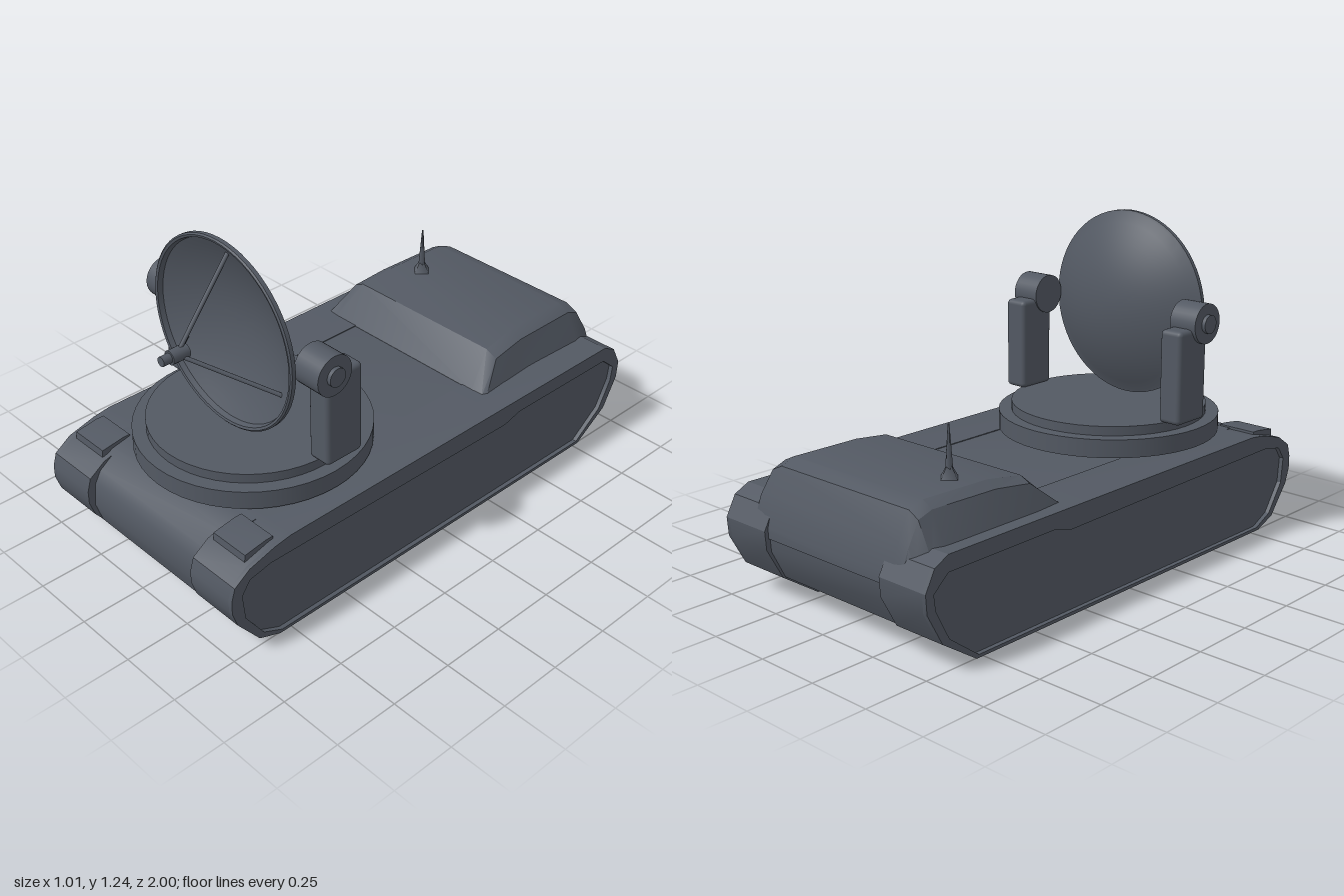
import * as THREE from 'three';
import { toCreasedNormals } from 'three/addons/utils/BufferGeometryUtils.js';
import { RoundedBoxGeometry } from 'three/addons/geometries/RoundedBoxGeometry.js';

const paint = new THREE.MeshStandardMaterial({ color: 0x535963 });
paint.name = 'slateGrey';

function add(parent, name, geometry, x = 0, y = 0, z = 0) {
  const mesh = new THREE.Mesh(geometry, paint);
  mesh.name = name;
  mesh.position.set(x, y, z);
  parent.add(mesh);
  return mesh;
}

// Extrude a [z, y] side profile from x0 to x1
function sidePlate(profile, x0, x1, hole) {
  const toPoints = (list) => list.map(([z, y]) => new THREE.Vector2(z, y));
  const shape = new THREE.Shape(toPoints(profile));
  if (hole) shape.holes.push(new THREE.Path(toPoints(hole)));
  const geo = new THREE.ExtrudeGeometry(shape, { depth: x1 - x0, bevelEnabled: false });
  geo.rotateY(-Math.PI / 2).translate(x1, 0, 0);
  return toCreasedNormals(geo, 0.45);
}

// Skin a list of equal-length rings running towards -z
function loft(rings) {
  const pos = [];
  const tri = (a, b, c) => pos.push(...a, ...b, ...c);
  for (let s = 0; s < rings.length - 1; s++) {
    const r = rings[s], q = rings[s + 1];
    for (let i = 0; i < r.length; i++) {
      const j = (i + 1) % r.length;
      tri(r[i], r[j], q[i]);
      tri(r[j], q[j], q[i]);
    }
  }
  const first = rings[0], last = rings[rings.length - 1];
  for (let i = 1; i < first.length - 1; i++) {
    tri(first[0], first[i + 1], first[i]);
    tri(last[0], last[i], last[i + 1]);
  }
  const geo = new THREE.BufferGeometry();
  geo.setAttribute('position', new THREE.Float32BufferAttribute(pos, 3));
  return toCreasedNormals(geo, 0.5);
}

// Round bar between two points
function bar(a, b, r0, r1 = r0) {
  const dir = b.clone().sub(a);
  const geo = new THREE.CylinderGeometry(r1, r0, dir.length(), 10);
  geo.applyQuaternion(new THREE.Quaternion().setFromUnitVectors(new THREE.Vector3(0, 1, 0), dir.clone().normalize()));
  const mid = a.clone().add(b).multiplyScalar(0.5);
  return geo.translate(mid.x, mid.y, mid.z);
}

function buildHull(model) {
  const hull = new THREE.Group();
  hull.name = 'hull';
  model.add(hull);

  // Centre body between the tracks
  const body = [[0.975, 0.2], [0.965, 0.29], [0.94, 0.335], [0.87, 0.385], [0.79, 0.402], [-0.85, 0.402],
    [-0.94, 0.38], [-0.98, 0.3], [-0.975, 0.22], [-0.92, 0.11], [-0.79, 0.03], [0.79, 0.03], [0.88, 0.06], [0.95, 0.12]];
  add(hull, 'centreBody', sidePlate(body, -0.36, 0.36));

  // Track units with a raised rim around a recessed side panel
  const track = [[1, 0.27], [0.985, 0.32], [0.92, 0.365], [0.81, 0.395], [0.74, 0.405], [-0.9, 0.405], [-0.96, 0.375],
    [-1, 0.3], [-0.995, 0.23], [-0.93, 0.11], [-0.78, 0.01], [0.8, 0.01], [0.89, 0.045], [0.98, 0.16], [1, 0.22]];
  const recess = [[0.955, 0.27], [0.92, 0.32], [0.83, 0.338], [-0.32, 0.325], [-0.4, 0.347], [-0.9, 0.345],
    [-0.965, 0.29], [-0.957, 0.23], [-0.9, 0.12], [-0.77, 0.022], [0.79, 0.022], [0.87, 0.06], [0.945, 0.17]];
  for (const side of [1, -1]) {
    const span = (a, b) => side > 0 ? [a, b] : [-b, -a];
    add(hull, 'trackUnit', sidePlate(track, ...span(0.29, 0.487)));
    add(hull, 'trackRim', sidePlate(track, ...span(0.487, 0.504), recess));
    const lamp = [[0.915, 0.34], [0.91, 0.395], [0.82, 0.408], [0.79, 0.408], [0.79, 0.34]];
    add(hull, 'headlampBox', sidePlate(lamp, ...span(0.31, 0.47)));
  }

  // Raised rear cabin: z, base y, top y, left base x, left top x, right base x, right top x
  const stations = [
    [-0.31, 0.38, 0.403, -0.45, -0.43, 0.41, 0.38],
    [-0.43, 0.38, 0.515, -0.46, -0.40, 0.40, 0.34],
    [-0.58, 0.38, 0.535, -0.46, -0.39, 0.39, 0.33],
    [-0.86, 0.38, 0.537, -0.46, -0.38, 0.40, 0.33],
    [-0.915, 0.36, 0.515, -0.45, -0.375, 0.40, 0.33],
    [-0.955, 0.33, 0.42, -0.42, -0.37, 0.39, 0.35],
    [-0.985, 0.27, 0.31, -0.38, -0.36, 0.38, 0.36],
  ];
  add(hull, 'rearCabin', loft(stations.map(([z, b, t, lb, lt, rb, rt]) => {
    const shoulder = b + (t - b) * 0.85;
    return [[lb, b, z], [lt - 0.012, shoulder, z], [lt + 0.03, t, z],
      [rt - 0.04, t, z], [rt + 0.01, shoulder, z], [rb, b, z]];
  })));

  // Whip aerial on a pyramid foot
  const foot = new THREE.ConeGeometry(0.045, 0.07, 4);
  add(hull, 'aerialFoot', foot, -0.26, 0.562, -0.655);
  add(hull, 'aerial', new THREE.CylinderGeometry(0.003, 0.014, 0.16, 6), -0.26, 0.642, -0.655);
}

function buildMount(model) {
  const mount = new THREE.Group();
  mount.name = 'turntable';
  model.add(mount);

  // Stepped turntable on a hidden bearing
  add(mount, 'bearing', new THREE.CylinderGeometry(0.2, 0.2, 0.03, 32), 0, 0.405, 0.47);
  add(mount, 'lowerDisc', new THREE.CylinderGeometry(0.43, 0.43, 0.07, 48), 0, 0.45, 0.47);
  add(mount, 'upperDisc', new THREE.CylinderGeometry(0.38, 0.38, 0.037, 48), 0, 0.5025, 0.47);

  // Support arms with pivot drums
  for (const side of [1, -1]) {
    add(mount, 'supportArm', new RoundedBoxGeometry(0.096, 0.355, 0.162, 3, 0.018), side * 0.388, 0.6975, 0.43);
    const drum = new THREE.CylinderGeometry(0.076, 0.076, 0.115, 32).rotateZ(Math.PI / 2);
    add(mount, 'pivotDrum', drum, side * 0.3925, 0.888, 0.49);
    const cap = new THREE.CylinderGeometry(0.035, 0.035, 0.03, 24).rotateZ(Math.PI / 2);
    add(mount, 'pivotCap', cap, side * 0.45, 0.888, 0.49);
  }
}

function buildDish(model) {
  const dish = new THREE.Group();
  dish.name = 'dish';
  dish.position.set(0, 0.89, 0.59);
  model.add(dish);

  // Curved bowl with a rolled rim
  const bowl = (r, depth) => -depth * (1 - (r / 0.35) ** 2) - 0.008;
  const profile = [];
  for (let i = 0; i <= 10; i++) profile.push(new THREE.Vector2(i * 0.035, bowl(i * 0.035, 0.112) - 0.008));
  profile.push(new THREE.Vector2(0.36, -0.012), new THREE.Vector2(0.36, 0.004),
    new THREE.Vector2(0.354, 0.009), new THREE.Vector2(0.345, 0.006));
  for (let i = 10; i >= 0; i--) profile.push(new THREE.Vector2(i * 0.034, bowl(i * 0.034, 0.1)));
  const reflector = new THREE.LatheGeometry(profile, 64).rotateX(Math.PI / 2);
  add(dish, 'reflector', toCreasedNormals(reflector, 0.6));

  // Feed horn on three struts
  add(dish, 'feedHorn', new THREE.CylinderGeometry(0.026, 0.026, 0.07, 20).rotateX(Math.PI / 2), 0, 0, 0.188);
  add(dish, 'feedTip', new THREE.CylinderGeometry(0.018, 0.018, 0.06, 20).rotateX(Math.PI / 2), 0, 0, 0.228);
  for (let i = 0; i < 3; i++) {
    const a = Math.PI / 2 + i * Math.PI * 2 / 3;
    const at = (r, z) => new THREE.Vector3(Math.cos(a) * r, Math.sin(a) * r, z);
    add(dish, 'feedStrut', bar(at(0.293, -0.04), at(0.015, 0.18), 0.008));
  }
}

export function createModel() {
  const model = new THREE.Group();
  model.name = 'dishVehicle';
  buildHull(model);
  buildMount(model);
  buildDish(model);
  return model;
}
